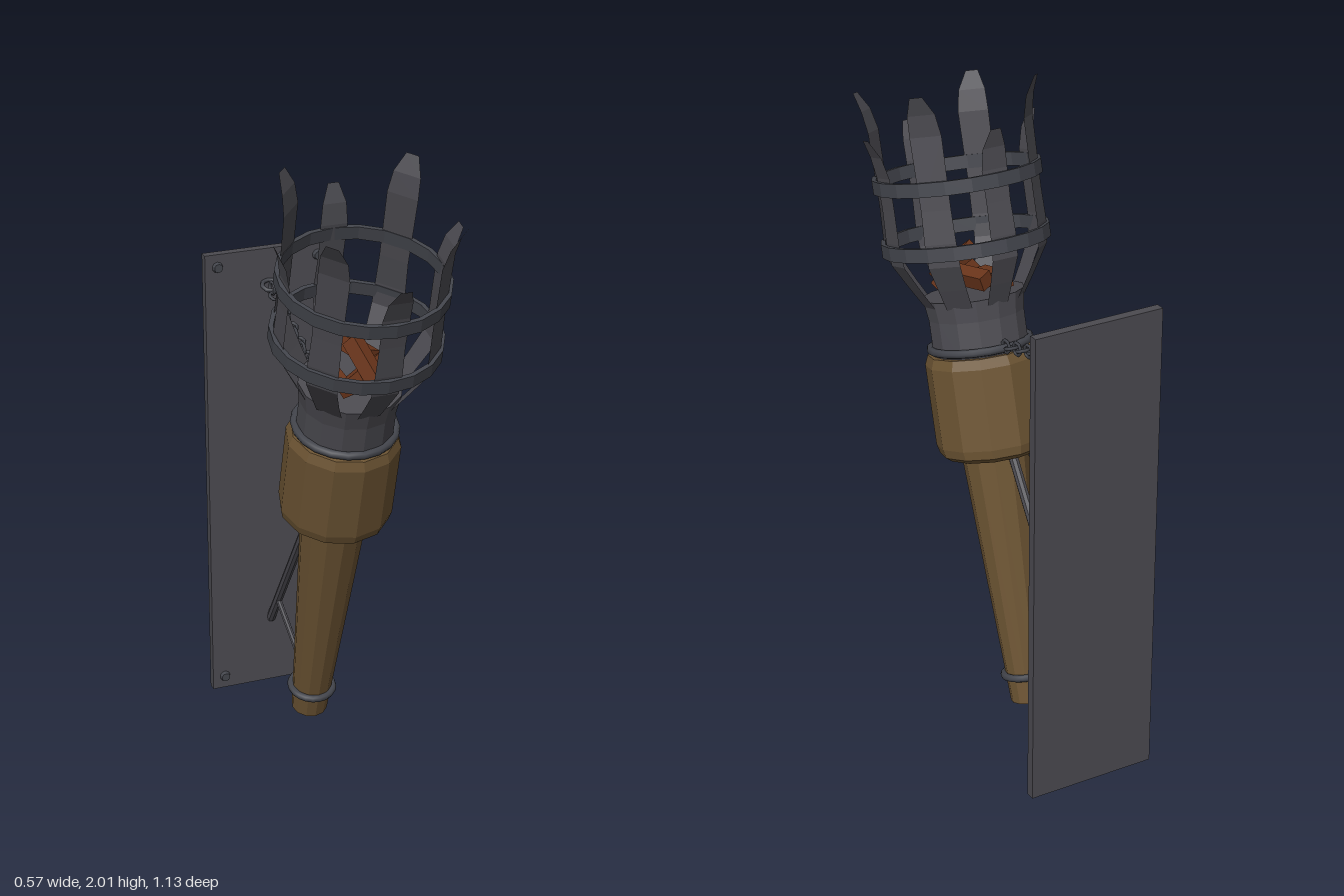
import * as THREE from 'three';

const mat = (name, color, side = THREE.FrontSide) => {
  const m = new THREE.MeshStandardMaterial({ color, side });
  m.name = name;
  return m;
};

// Faceted copy of a geometry
function flat(geo) {
  const g = geo.index ? geo.toNonIndexed() : geo;
  g.computeVertexNormals();
  return g;
}

const lathe = (pts, sides) =>
  flat(new THREE.LatheGeometry(pts.map(p => new THREE.Vector2(p[0], p[1])), sides));

export function createModel() {
  const iron = mat('iron', 0x4b4a50, THREE.DoubleSide);
  const darkIron = mat('dark iron', 0x42444b);
  const wood = mat('wood', 0x6c5433);
  const ember = mat('charred stick', 0x6a351b);

  const model = new THREE.Group();
  model.name = 'wallTorch';
  const add = (parent, name, geo, material, pos = [0, 0, 0]) => {
    const mesh = new THREE.Mesh(geo, material);
    mesh.name = name;
    mesh.position.set(...pos);
    parent.add(mesh);
    return mesh;
  };
  // Places a mesh so that its y axis runs from a to b
  const span = (name, a, b, makeGeo, material) => {
    const A = new THREE.Vector3(...a), B = new THREE.Vector3(...b);
    const dir = B.clone().sub(A);
    const mesh = add(model, name, makeGeo(dir.length()), material);
    mesh.position.copy(A).add(B).multiplyScalar(0.5);
    mesh.quaternion.setFromUnitVectors(new THREE.Vector3(0, 1, 0), dir.normalize());
    return mesh;
  };

  // Wall plate with four studs
  add(model, 'wallPlate', new THREE.BoxGeometry(0.416, 1.525, 0.029), iron, [0, 0.7625, -0.5525]);
  for (const x of [-0.167, 0.167]) for (const y of [0.042, 1.483]) {
    const stud = add(model, 'stud', flat(new THREE.CylinderGeometry(0.014, 0.018, 0.014, 10)), darkIron, [x, y, -0.532]);
    stud.rotation.x = Math.PI / 2;
  }

  // Support bars
  const bar = r => len => flat(new THREE.CylinderGeometry(r, r, len, 8));
  span('brace', [0, 0.9, -0.08], [0, 0.225, -0.545], bar(0.015), iron);
  span('strut', [0, 0.175, -0.22], [0, 0.33, -0.475], bar(0.01), iron);

  // Leaning torch
  const torch = new THREE.Group();
  torch.name = 'torch';
  torch.position.set(0, 0.08, -0.193);
  torch.rotation.x = THREE.MathUtils.degToRad(15.4);
  model.add(torch);

  add(torch, 'handle', lathe([[0, 0], [0.057, 0], [0.104, 0.82]], 12), wood);
  add(torch, 'head', lathe([[0.09, 0.808], [0.15, 0.808], [0.168, 0.822], [0.175, 0.85],
    [0.175, 1.1], [0.163, 1.13], [0, 1.135]], 12), wood);
  add(torch, 'collar', lathe([[0.148, 1.12], [0.148, 1.24], [0.157, 1.305], [0, 1.305]], 14), iron);

  for (const [name, r, tube, y] of [['handleRing', 0.067, 0.012, 0.088], ['collarRing', 0.152, 0.013, 1.148]]) {
    const ring = add(torch, name, new THREE.TorusGeometry(r, tube, 8, 20), darkIron, [0, y, 0]);
    ring.rotation.x = Math.PI / 2;
  }

  // Cage bands
  for (const y of [1.471, 1.665]) {
    add(torch, 'cageBand', lathe([[0.243, -0.021], [0.257, -0.021], [0.257, 0.021],
      [0.243, 0.021], [0.243, -0.021]], 20), darkIron, [0, y, 0]);
  }

  // Cage slats: rows of [radius, height, width], alternately short and tall
  const slat = (tip, k) => {
    const rows = [[0.15, 1.285, 0.07], [0.19, 1.35, 0.075], [0.236, 1.43, 0.085], [0.243, 1.5, 0.085],
      [0.241, 1.6, 0.08], [0.243, tip - 0.12, 0.085], [0.257, tip - 0.055, 0.074], [0.283, tip, 0.034]];
    const g = new THREE.PlaneGeometry(1, 1, 1, rows.length - 1);
    const p = g.attributes.position;
    for (let i = 0; i < p.count; i++) {
      const [r, y, w] = rows[rows.length - 1 - Math.floor(i / 2)];
      p.setXYZ(i, p.getX(i) * w * k, y, r);
    }
    return flat(g);
  };
  const shortSlat = slat(1.817, 1), tallSlat = slat(1.938, 1.15);
  for (let i = 0; i < 8; i++) {
    add(torch, 'cageSlat', i % 2 ? tallSlat : shortSlat, iron).rotation.y = i * Math.PI / 4;
  }

  // Sticks lying in the cup
  const sticks = [
    [[-0.07, 1.39, 0.075], [-0.06, 1.36, 0.215]],
    [[0.02, 1.425, 0.035], [0.062, 1.41, 0.165]],
    [[-0.06, 1.36, 0.255], [0.12, 1.4, 0.14]],
    [[0, 1.475, 0.165], [0.045, 1.35, 0.295]]
  ];
  for (const [a, b] of sticks) {
    span('stick', a, b, len => new THREE.BoxGeometry(0.046, len, 0.046), ember);
  }

  // Chain of alternating links, ending in an eye on the plate
  const start = new THREE.Vector3(0, 1.238, -0.045), end = new THREE.Vector3(0, 1.405, -0.5);
  const link = new THREE.TorusGeometry(0.02, 0.0055, 5, 8);
  const chain = new THREE.Group();
  chain.name = 'chain';
  model.add(chain);
  const count = 15;
  const slope = Math.atan2(end.y - start.y, start.z - end.z);
  for (let i = 0; i < count; i++) {
    const t = i / (count - 1);
    const p = start.clone().lerp(end, t);
    p.y -= 0.012 * Math.sin(Math.PI * t);
    const holder = new THREE.Group();
    holder.name = 'chainLink';
    holder.position.copy(p);
    holder.rotation.x = slope;
    const mesh = add(holder, 'link', link, darkIron);
    if (i % 2) mesh.rotation.x = Math.PI / 2;
    else mesh.rotation.y = Math.PI / 2;
    chain.add(holder);
  }
  const eye = add(model, 'chainEye', new THREE.TorusGeometry(0.028, 0.007, 6, 8), darkIron, [0, 1.41, -0.513]);
  eye.rotation.x = Math.PI / 2 + slope;

  return model;
}
